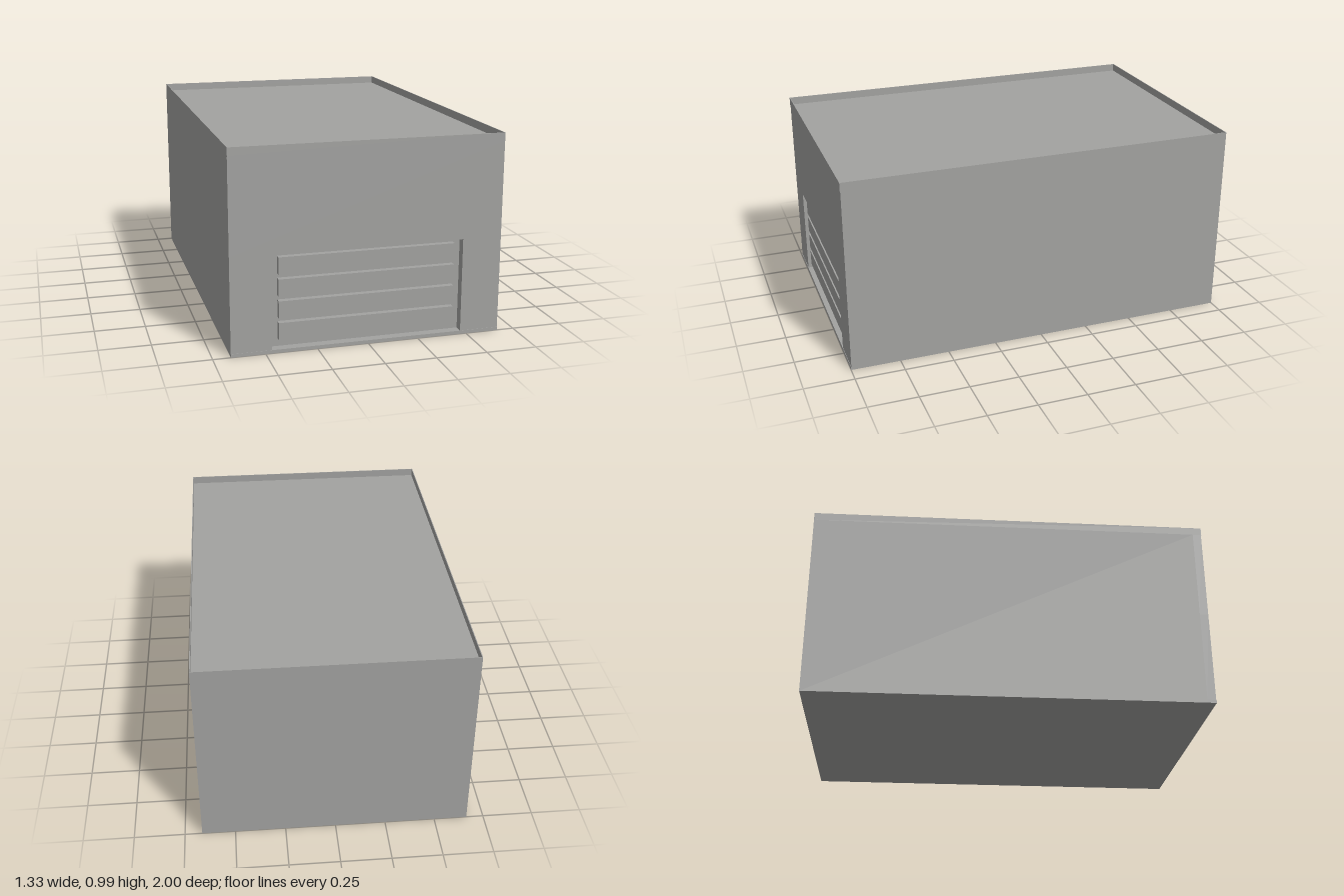
import * as THREE from 'three';

// Flat-roofed garage block with a thin parapet and a recessed panelled door
export function createModel() {
  const model = new THREE.Group();
  const concrete = new THREE.MeshStandardMaterial({ color: 0xa2a2a0 });
  concrete.name = 'concrete grey';

  const W = 0.665, H = 0.988, ROOF = 0.948, DOOR_Z = 0.955;
  const DOOR_W = 0.47, DOOR_TOP = 0.48, SILL = 0.016;

  // Box given by its lower and upper limits on each axis
  function box(name, x0, x1, y0, y1, z0, z1) {
    const mesh = new THREE.Mesh(new THREE.BoxGeometry(x1 - x0, y1 - y0, z1 - z0), concrete);
    mesh.position.set((x0 + x1) / 2, (y0 + y1) / 2, (z0 + z1) / 2);
    mesh.name = name;
    model.add(mesh);
  }

  // Main volume; its front face is the door sheet behind the opening
  box('buildingBody', -W, W, 0, ROOF, -1, DOOR_Z);

  // Front wall around the opening, a hair behind the slab edges
  box('floorSlabEdge', -W, W, 0, SILL, DOOR_Z, 1);
  box('upperFrontWall', -W, W, DOOR_TOP, ROOF, DOOR_Z, 0.998);
  for (const [side, s] of [['left', 1], ['right', -1]]) {
    const xs = [s * DOOR_W, s * W].sort((a, b) => a - b);
    box(side + 'FrontPier', xs[0], xs[1], SILL, DOOR_TOP, DOOR_Z, 0.998);
  }

  // Raised door panels
  for (let i = 0; i < 4; i++) {
    const y = 0.055 + i * 0.1065;
    box('doorPanel' + (i + 1), -0.433, 0.433, y, y + 0.085, DOOR_Z, 0.985);
  }

  // Parapet around the roof
  const t = 0.004;
  box('frontParapet', -W, W, ROOF, H, 1 - t, 1);
  box('roofFrontStrip', -W, W, ROOF - 0.002, ROOF, DOOR_Z, 1);
  box('backParapet', -W, W, ROOF, H, -1, -1 + t);
  box('leftParapet', W - t, W, ROOF, H, -1 + t, 1 - t);
  box('rightParapet', -W, -W + t, ROOF, H, -1 + t, 1 - t);

  return model;
}
